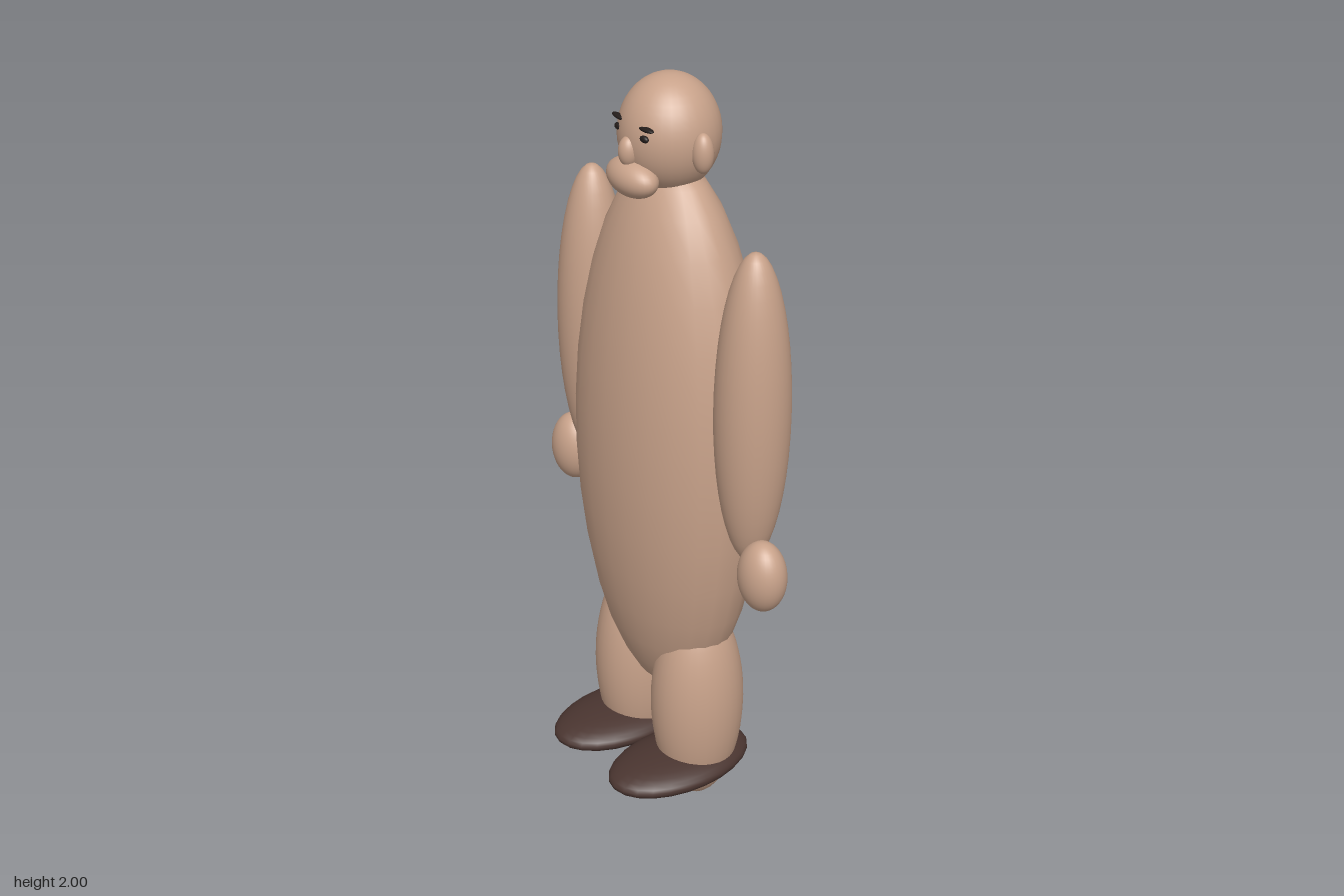
import * as THREE from 'three';

function material(name, color) {
  const m = new THREE.MeshStandardMaterial({ color });
  m.name = name;
  return m;
}

export function createModel() {
  const group = new THREE.Group();
  group.name = 'figure';
  const skin = material('skin', 0xc8a28a);
  const shoe = material('darkBrown', 0x4a3530);
  const dark = material('nearBlack', 0x241d1b);

  // Smooth ellipsoid from its centre and its three radii
  function ellipsoid(name, mat, center, radii, segments = 32) {
    const geometry = new THREE.SphereGeometry(1, segments, Math.round(segments * 0.7));
    geometry.scale(...radii);
    const mesh = new THREE.Mesh(geometry, mat);
    mesh.name = name;
    mesh.position.set(...center);
    group.add(mesh);
    return mesh;
  }

  // Trunk and head
  ellipsoid('body', skin, [0, 1.04, -0.036], [0.3, 0.75, 0.202], 24);
  ellipsoid('head', skin, [0, 1.855, -0.033], [0.125, 0.145, 0.125]);

  // Face
  ellipsoid('nose', skin, [0, 1.832, 0.085], [0.025, 0.038, 0.026]);
  ellipsoid('muzzle', skin, [0, 1.765, 0.075], [0.083, 0.047, 0.049]);

  // Mirrored parts: left is +x
  for (const [side, s] of [['left', 1], ['right', -1]]) {
    ellipsoid(side + 'Ear', skin, [s * 0.13, 1.84, -0.034], [0.027, 0.05, 0.026]);
    ellipsoid(side + 'Eye', dark, [s * 0.051, 1.876, 0.077], [0.015, 0.009, 0.008], 16);
    const brow = ellipsoid(side + 'Eyebrow', dark, [s * 0.053, 1.899, 0.073], [0.028, 0.006, 0.01], 16);
    brow.rotation.z = s * 0.04;

    ellipsoid(side + 'Arm', skin, [s * 0.333, 1.248, -0.036], [0.094, 0.415, 0.094]);
    ellipsoid(side + 'Hand', skin, [s * 0.408, 0.83, -0.018], [0.068, 0.095, 0.058]);

    ellipsoid(side + 'Leg', skin, [s * 0.128, 0.305, -0.034], [0.117, 0.3, 0.125]);
    ellipsoid(side + 'Foot', shoe, [s * 0.128, 0.125, 0.026], [0.126, 0.045, 0.211], 24);
  }
  return group;
}
